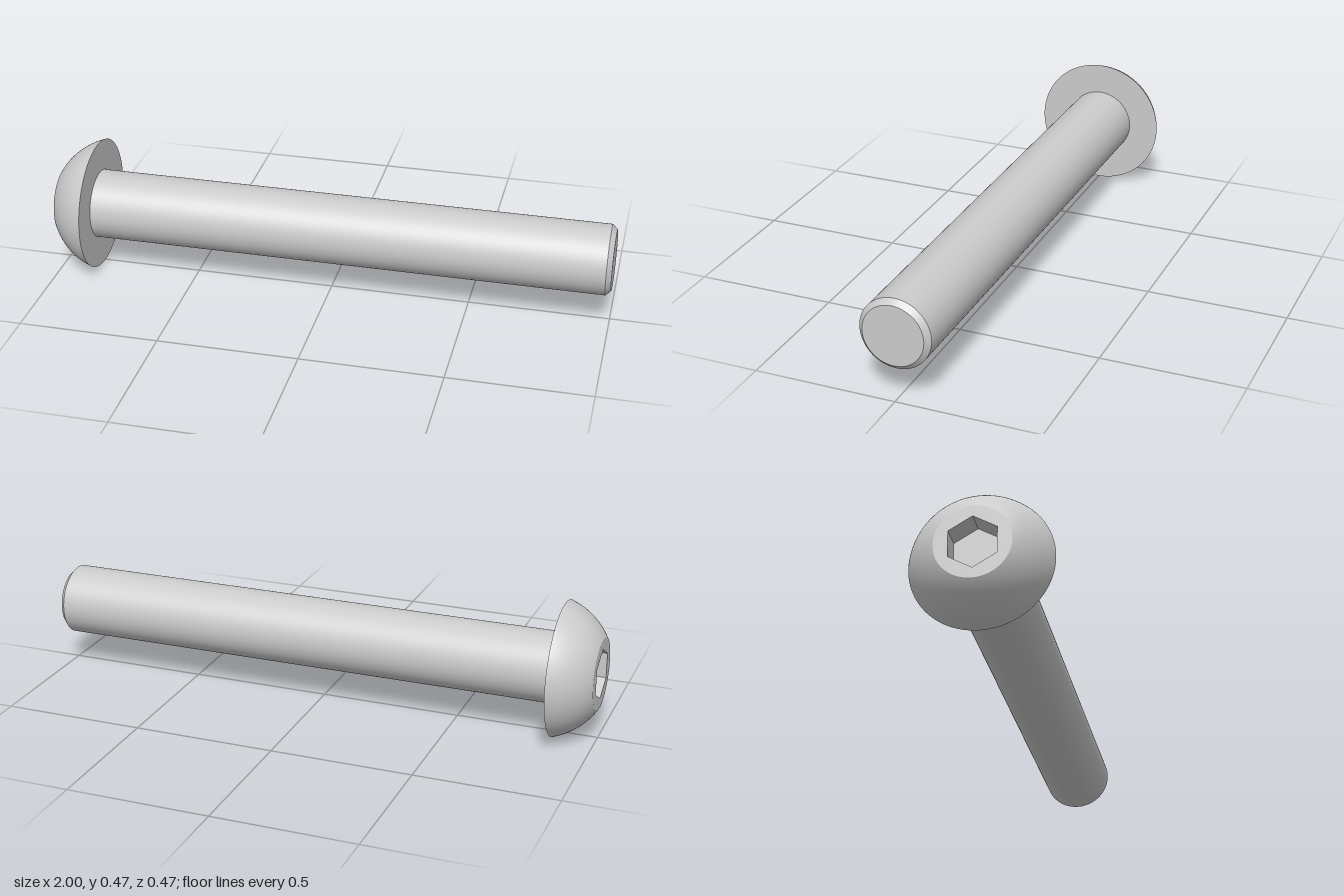
import * as THREE from 'three';
import { mergeGeometries } from 'three/addons/utils/BufferGeometryUtils.js';

const SEGMENTS = 96;
const HEAD_R = 0.236, FACE_R = 0.125, SHAFT_R = 0.124, TIP_R = 0.106;
const FACE = -1, SEAT = -0.863, CHAMFER = 0.982, TIP = 1;
const HEX_R = 0.0895, HEX_DEPTH = 0.081;

// Turned surface; each [radius, height] section gets its own normals so edges stay sharp
const turned = (...sections) => mergeGeometries(sections.map((pts) =>
  new THREE.LatheGeometry(pts.map(([r, y]) => new THREE.Vector2(r, y)), SEGMENTS)));

export function createModel() {
  const group = new THREE.Group();
  group.name = 'buttonHeadBolt';
  const bolt = new THREE.Group();
  bolt.name = 'bolt';
  const grey = new THREE.MeshStandardMaterial({ color: 0xcccccc });
  const flat = new THREE.MeshStandardMaterial({ color: 0xcccccc, flatShading: true, side: THREE.DoubleSide });
  const add = (name, geometry, material = grey) => {
    const mesh = new THREE.Mesh(geometry, material);
    mesh.name = name;
    bolt.add(mesh);
  };

  // Domed head: circular arc centred on the axis, closed by a flat seat
  const centre = (HEAD_R ** 2 - FACE_R ** 2 + SEAT ** 2 - FACE ** 2) / (2 * (SEAT - FACE));
  const radius = Math.hypot(HEAD_R, SEAT - centre);
  const a0 = Math.atan2(FACE - centre, FACE_R), a1 = Math.atan2(SEAT - centre, HEAD_R);
  const dome = [];
  for (let i = 0; i <= 20; i++) {
    const a = a0 + (a1 - a0) * i / 20;
    dome.push([radius * Math.cos(a), centre + radius * Math.sin(a)]);
  }
  add('head', turned(dome, [[HEAD_R, SEAT], [SHAFT_R, SEAT]]));

  // Flat head face with a hexagonal opening
  const face = new THREE.Shape().absarc(0, 0, FACE_R, 0, Math.PI * 2);
  const hex = [];
  for (let i = 0; i < 6; i++) {
    const a = i * Math.PI / 3;
    hex.push(new THREE.Vector2(HEX_R * Math.cos(a), HEX_R * Math.sin(a)));
  }
  face.holes.push(new THREE.Path(hex));
  add('headFace', new THREE.ShapeGeometry(face, SEGMENTS / 2).rotateX(Math.PI / 2).translate(0, FACE, 0));

  // Hex socket walls and floor
  add('socketWalls', new THREE.CylinderGeometry(HEX_R, HEX_R, HEX_DEPTH, 6, 1, true, Math.PI / 2)
    .translate(0, FACE + HEX_DEPTH / 2, 0), flat);
  add('socketFloor', new THREE.CircleGeometry(HEX_R, 6).rotateX(Math.PI / 2).translate(0, FACE + HEX_DEPTH, 0));

  // Plain shaft with chamfered tip
  add('shaft', turned(
    [[SHAFT_R, SEAT], [SHAFT_R, CHAMFER]],
    [[SHAFT_R, CHAMFER], [TIP_R, TIP]],
    [[TIP_R, TIP], [0, TIP]],
  ));

  // Lay the bolt along x, resting on the head's rim
  bolt.rotation.z = -Math.PI / 2;
  bolt.position.y = HEAD_R;
  group.add(bolt);
  return group;
}
